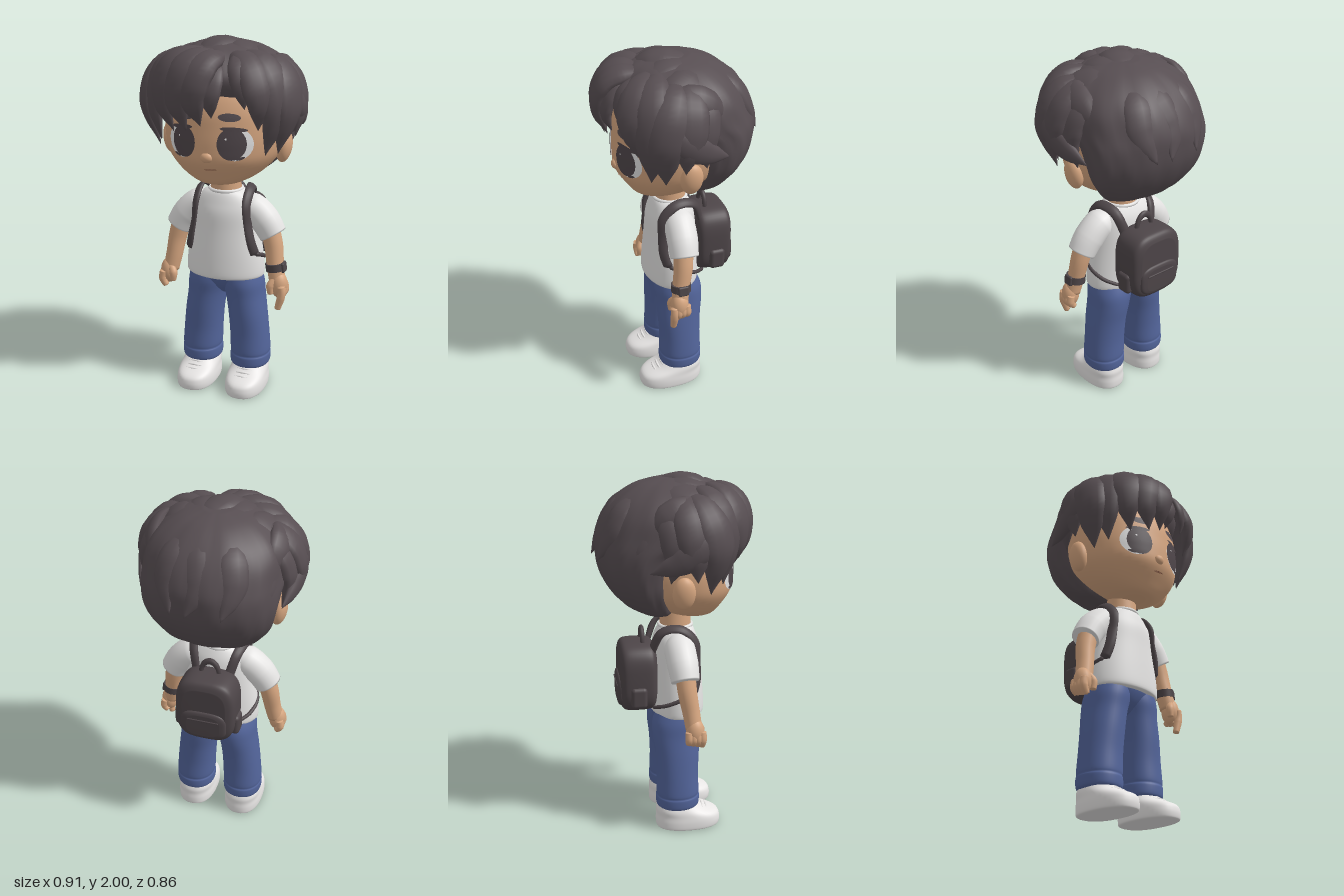
import * as THREE from 'three';
import { mergeVertices } from 'three/addons/utils/BufferGeometryUtils.js';
import { RoundedBoxGeometry } from 'three/addons/geometries/RoundedBoxGeometry.js';

const mat = (name, color, side = THREE.FrontSide) => {
  const m = new THREE.MeshStandardMaterial({ color, side });
  m.name = name;
  return m;
};
const M = {
  hair: mat('dark hair', 0x574e52),
  skin: mat('skin', 0xd6a680),
  shirt: mat('shirt white', 0xe4e3e2),
  jeans: mat('denim blue', 0x53659b),
  shoe: mat('shoe white', 0xe8e6e5),
  bag: mat('bag charcoal', 0x4d4548),
  eyeWhite: mat('eye white', 0xffffff, THREE.DoubleSide),
  iris: mat('iris brown', 0x50474b, THREE.DoubleSide),
  lip: mat('lip brown', 0x9a6a52, THREE.DoubleSide),
};

// Catmull-Rom value of a row table at t in 0..1
function rowAt(rows, t) {
  const f = t * (rows.length - 1), i = Math.min(Math.floor(f), rows.length - 2), u = f - i;
  const r = k => rows[Math.max(0, Math.min(rows.length - 1, k))];
  return rows[0].map((_, c) => {
    const a = r(i - 1)[c], b = r(i)[c], d = r(i + 1)[c], e = r(i + 2)[c];
    return b + 0.5 * u * (d - a + u * (2 * a - 5 * b + 4 * d - e + u * (3 * (b - d) + e - a)));
  });
}

// Closed body from horizontal rings [y, x, z, rx, rz], bottom to top
function loft(rows, { seg = 40, exp = 1, wave = () => 1 } = {}) {
  const n = (rows.length - 1) * 5, pos = [], idx = [];
  const pw = v => Math.sign(v) * Math.abs(v) ** exp;
  for (let i = 0; i <= n; i++) {
    const [y, x, z, rx, rz] = rowAt(rows, i / n);
    for (let j = 0; j < seg; j++) {
      const a = j / seg * Math.PI * 2, w = wave(a, y);
      pos.push(x + rx * w * pw(Math.cos(a)), y, z + rz * w * pw(Math.sin(a)));
    }
  }
  for (let i = 0; i < n; i++) for (let j = 0; j < seg; j++) {
    const a = i * seg + j, b = i * seg + (j + 1) % seg;
    idx.push(a, a + seg, b, b, a + seg, b + seg);
  }
  const lo = pos.length / 3, first = rows[0], last = rows[rows.length - 1];
  pos.push(first[1], first[0], first[2], last[1], last[0], last[2]);
  for (let j = 0; j < seg; j++) {
    const k = (j + 1) % seg;
    idx.push(lo, j, k, lo + 1, n * seg + k, n * seg + j);
  }
  const g = new THREE.BufferGeometry();
  g.setAttribute('position', new THREE.Float32BufferAttribute(pos, 3));
  g.setIndex(idx);
  g.computeVertexNormals();
  return g;
}

// Tapered tube along points; flat squashes it toward a centre
function sweep(points, radii, { flat = 1, center = [0, 1.6, 0], seg = 24, radial = 12 } = {}) {
  const curve = new THREE.CatmullRomCurve3(points.map(p => new THREE.Vector3(...p)));
  let g = new THREE.TubeGeometry(curve, seg, 1, radial);
  const p = g.attributes.position, v = new THREE.Vector3(), c = new THREE.Vector3(...center);
  for (let i = 0; i <= seg; i++) {
    const P = curve.getPointAt(i / seg), out = P.clone().sub(c).normalize();
    const f = i / seg * (radii.length - 1), k = Math.min(Math.floor(f), radii.length - 2);
    const r = i === 0 || i === seg ? 0 : THREE.MathUtils.lerp(radii[k], radii[k + 1], f - k);
    for (let j = 0; j <= radial; j++) {
      const q = i * (radial + 1) + j;
      v.fromBufferAttribute(p, q).sub(P);
      v.addScaledVector(out, (flat - 1) * v.dot(out)).multiplyScalar(r).add(P);
      p.setXYZ(q, v.x, v.y, v.z);
    }
  }
  g.deleteAttribute('uv');
  g.deleteAttribute('normal');
  g = mergeVertices(g);
  g.computeVertexNormals();
  return g;
}

// Head rings, also used to lay the face details on its surface
const HEAD = [[1.235, 0, 0.13, 0.06, 0.06], [1.25, 0, 0.11, 0.13, 0.12], [1.3, 0, 0.07, 0.22, 0.2],
  [1.38, 0, 0.035, 0.295, 0.285], [1.46, 0, 0.02, 0.325, 0.308], [1.55, 0, 0.01, 0.335, 0.315],
  [1.65, 0, 0, 0.33, 0.315], [1.75, 0, 0, 0.3, 0.275], [1.85, 0, 0, 0.2, 0.18], [1.9, 0, 0, 0.05, 0.05]];
function headZ(x, y) {
  let best = HEAD[0];
  for (let i = 0; i <= 400; i++) {
    const r = rowAt(HEAD, i / 400);
    if (Math.abs(r[0] - y) < Math.abs(best[0] - y)) best = r;
  }
  return best[2] + best[4] * Math.sqrt(Math.max(0, 1 - (x / best[3]) ** 2));
}
function decal(cx, cy, rx, ry, lift, tilt = 0) {
  const g = new THREE.RingGeometry(0, 1, 32, 6).scale(rx, ry, 1).rotateZ(tilt).translate(cx, cy, 0);
  const p = g.attributes.position;
  for (let i = 0; i < p.count; i++) p.setZ(i, headZ(p.getX(i), p.getY(i)) + lift);
  g.computeVertexNormals();
  return g;
}

export function createModel() {
  const root = new THREE.Group();
  root.name = 'boyWithBackpack';
  const add = (name, g, m, x = 0, y = 0, z = 0) => {
    const mesh = new THREE.Mesh(g, m);
    mesh.name = name;
    mesh.position.set(x, y, z);
    root.add(mesh);
    return mesh;
  };
  const ball = (rx, ry, rz) => new THREE.SphereGeometry(1, 24, 16).scale(rx, ry, rz);

  // Head and face
  add('head', loft(HEAD), M.skin);
  add('neck', new THREE.CylinderGeometry(0.08, 0.088, 0.2, 28), M.skin, 0, 1.24, 0.02);
  add('nose', ball(0.034, 0.028, 0.024), M.skin, 0, 1.412, 0.318);
  add('mouth', decal(0.015, 1.345, 0.035, 0.004, 0.003, 0.08), M.lip);
  for (const s of [-1, 1]) {
    add('ear', ball(0.042, 0.088, 0.06), M.skin, s * 0.325, 1.43, 0.012).rotation.z = -s * 0.15;
    add('eyeWhite', decal(s * 0.146, 1.486, 0.084, 0.086, 0.003), M.eyeWhite);
    add('iris', decal(s * 0.13, 1.488, 0.071, 0.084, 0.006), M.iris);
    add('eyeGlint', decal(s * 0.13 - 0.025, 1.516, 0.005, 0.005, 0.009), M.eyeWhite);
    add('upperLash', decal(s * 0.14, 1.564, 0.066, 0.012, 0.008, -s * 0.08), M.iris);
    add('lowerLash', decal(s * 0.172, 1.413, 0.022, 0.007, 0.008, s * 0.3), M.iris);
    add('eyebrow', decal(s * 0.117, 1.624, 0.055, 0.021, 0.005, -s * 0.05), M.hair);
  }

  // Hair volume
  add('hairCap', loft([[1.245, 0, -0.07, 0.1, 0.06], [1.275, 0, -0.095, 0.19, 0.1], [1.33, 0, -0.135, 0.255, 0.15],
    [1.42, 0, -0.165, 0.315, 0.19], [1.52, 0, -0.175, 0.345, 0.225], [1.62, 0, -0.15, 0.357, 0.265], [1.7, 0, -0.07, 0.365, 0.34],
    [1.8, 0, -0.02, 0.355, 0.345], [1.88, 0, -0.005, 0.3, 0.29], [1.945, 0, 0.01, 0.2, 0.205], [1.978, 0, 0.02, 0.08, 0.1]],
  { seg: 64, wave: (a, y) => 1 + 0.014 * Math.sin(9 * a + 7 * y) + 0.008 * Math.sin(17 * a - 15 * y) }), M.hair);

  // Hair locks: [radius, four points from crown to tip]
  const lock = (name, s, [r, ...pts]) => add(name,
    sweep(pts.map(([x, y, z]) => [x * s, y, z]), [0.3, 0.8, 1, 0.95, 0.6, 0].map(k => k * r), { flat: 0.5 }), M.hair);
  [
    [0.055, [0.04, 1.9, 0.26], [0.045, 1.82, 0.34], [0.04, 1.73, 0.37], [0.035, 1.62, 0.34]],
    [0.09, [0.05, 1.93, 0.18], [-0.02, 1.87, 0.34], [-0.05, 1.74, 0.387], [-0.02, 1.58, 0.35]],
    [0.1, [0.03, 1.93, 0.18], [-0.1, 1.87, 0.325], [-0.14, 1.72, 0.36], [-0.1, 1.55, 0.345]],
    [0.1, [0, 1.93, 0.15], [-0.2, 1.87, 0.27], [-0.24, 1.7, 0.31], [-0.19, 1.53, 0.29]],
    [0.1, [-0.05, 1.93, 0.1], [-0.27, 1.86, 0.19], [-0.32, 1.68, 0.23], [-0.29, 1.46, 0.22]],
    [0.065, [0.12, 1.92, 0.18], [0.17, 1.87, 0.29], [0.19, 1.79, 0.32], [0.2, 1.67, 0.31]],
    [0.09, [0.08, 1.93, 0.16], [0.21, 1.87, 0.26], [0.27, 1.74, 0.3], [0.26, 1.56, 0.27]],
    [0.1, [0.1, 1.93, 0.12], [0.28, 1.86, 0.2], [0.34, 1.68, 0.22], [0.28, 1.42, 0.21]],
  ].forEach(l => lock('fringeLock', 1, l));
  const sideLocks = [
    [0.1, [0.2, 1.91, 0.05], [0.34, 1.84, 0.12], [0.385, 1.68, 0.17], [0.33, 1.42, 0.15]],
    [0.1, [0.2, 1.91, 0], [0.355, 1.82, 0.04], [0.41, 1.66, 0.06], [0.4, 1.5, 0.07]],
    [0.09, [0.2, 1.9, -0.05], [0.335, 1.8, -0.04], [0.38, 1.65, -0.03], [0.35, 1.49, -0.06]],
    [0.075, [0.36, 1.8, 0.18], [0.41, 1.7, 0.1], [0.405, 1.61, -0.02], [0.375, 1.55, -0.17]],
    [0.07, [0.2, 1.87, -0.08], [0.28, 1.78, -0.16], [0.3, 1.65, -0.22], [0.26, 1.5, -0.31]],
    [0.08, [0.1, 1.9, -0.12], [0.15, 1.83, -0.27], [0.17, 1.71, -0.34], [0.13, 1.57, -0.415]],
    [0.1, [0.02, 1.88, -0.2], [0.07, 1.915, -0.06], [0.12, 1.925, 0.1], [0.17, 1.86, 0.25]],
    [0.1, [0.08, 1.9, -0.12], [0.19, 1.895, -0.03], [0.26, 1.865, 0.07], [0.33, 1.77, 0.2]],
    [0.075, [0.27, 1.88, 0.1], [0.32, 1.86, 0], [0.325, 1.81, -0.09], [0.31, 1.72, -0.17]],
  ];
  for (const s of [-1, 1]) sideLocks.forEach(l => lock('sideLock', s, l));
  lock('backLock', 1, [0.085, [0, 1.91, -0.12], [0.02, 1.84, -0.28], [0, 1.71, -0.37], [0.05, 1.57, -0.43]]);
  lock('crownLock', 1, [0.1, [0.06, 1.93, -0.1], [0.02, 1.95, 0.02], [-0.03, 1.945, 0.12], [-0.08, 1.88, 0.25]]);

  // Shirt and hips
  add('shirt', loft([[0.68, 0, 0.025, 0.212, 0.14], [0.697, 0, 0.025, 0.226, 0.153], [0.8, 0, 0.025, 0.22, 0.148],
    [0.95, 0, 0.02, 0.196, 0.14], [1.05, 0, 0.02, 0.184, 0.132], [1.11, 0, 0.018, 0.168, 0.118],
    [1.155, 0, 0.02, 0.13, 0.1], [1.178, 0, 0.02, 0.09, 0.085]]), M.shirt);
  add('collar', new THREE.TorusGeometry(0.09, 0.01, 8, 32).rotateX(Math.PI / 2), M.shirt, 0, 1.173, 0.02);
  add('hips', loft([[0.56, 0, 0.005, 0.02, 0.05], [0.585, 0, 0.005, 0.07, 0.08], [0.63, 0, 0.008, 0.16, 0.115],
    [0.68, 0, 0.012, 0.206, 0.135], [0.72, 0, 0.015, 0.206, 0.135]]), M.jeans);

  for (const s of [-1, 1]) {
    const at = pts => pts.map(([x, y, z]) => [s * x, y, z]);

    // Sleeves, arms and hands
    add('sleeve', sweep(at([[0.06, 1.1, 0.02], [0.165, 1.065, 0.02], [0.235, 1, 0.025], [0.282, 0.925, 0.03]]),
      [0.06, 0.085, 0.084, 0.076], { seg: 36, radial: 24 }), M.shirt);
    add('arm', sweep(at([[0.25, 1, 0.03], [0.285, 0.87, 0.04], [0.302, 0.76, 0.058], [0.322, 0.66, 0.072]]),
      [0.055, 0.053, 0.048, 0.045], { radial: 20 }), M.skin);
    add('palm', ball(0.048, 0.075, 0.05), M.skin, s * 0.33, 0.66, 0.075);
    for (let i = 0; i < 4; i++) {
      const z = 0.112 - i * 0.024, tip = i === 0 && s > 0 ? 0.525 : 0.575 + i * 0.006;
      add('finger', sweep(at([[0.35, 0.67, z], [0.355, 0.62, z], [0.332, tip, z]]), [0.021, 0.023, 0.017]), M.skin);
    }
    add('thumb', sweep(at([[0.315, 0.7, 0.09], [0.29, 0.66, 0.11], [0.292, 0.61, 0.112]]), [0.02, 0.023, 0.016]), M.skin);

    // Trouser legs with a turned-up cuff
    add('leg', loft([[0.13, s * 0.146, 0.01, 0.1, 0.108], [0.145, s * 0.147, 0.01, 0.113, 0.122],
      [0.19, s * 0.148, 0.01, 0.115, 0.124], [0.205, s * 0.148, 0.01, 0.111, 0.119], [0.23, s * 0.147, 0.01, 0.114, 0.121],
      [0.33, s * 0.141, 0.01, 0.112, 0.118], [0.45, s * 0.13, 0.01, 0.11, 0.124], [0.56, s * 0.114, 0.005, 0.111, 0.132],
      [0.64, s * 0.1, 0.01, 0.118, 0.134], [0.71, s * 0.085, 0.02, 0.115, 0.115]], { exp: 0.94 }), M.jeans);

    // Shoes
    add('shoe', loft([[0, s * 0.148, 0.07, 0.1, 0.172], [0.008, s * 0.148, 0.07, 0.112, 0.184], [0.045, s * 0.148, 0.07, 0.114, 0.186],
      [0.08, s * 0.148, 0.062, 0.11, 0.175], [0.115, s * 0.148, 0.022, 0.104, 0.135], [0.15, s * 0.148, 0.002, 0.09, 0.104]],
    { exp: 0.85 }), M.shoe);
    for (let i = 0; i < 3; i++) {
      const y = 0.13 - i * 0.013, z = 0.128 + i * 0.024;
      add('lace', sweep([[s * 0.148 - 0.045, y - 0.006, z - 0.006], [s * 0.148, y, z], [s * 0.148 + 0.045, y - 0.006, z - 0.006]],
        [0.007, 0.007]), M.shoe);
    }

    // Shoulder strap and thin lower strap
    const strap = { flat: 0.45, center: [0, 0.98, 0], seg: 48 };
    add('shoulderStrap', sweep(at([[0.09, 1.04, -0.13], [0.125, 1.165, -0.07], [0.143, 1.18, 0.03], [0.146, 1.11, 0.105],
      [0.157, 1, 0.112], [0.176, 0.9, 0.112], [0.195, 0.82, 0.09]]), [0.028, 0.028], strap), M.bag);
    add('lowerStrap', sweep(at([[0.192, 0.83, 0.09], [0.218, 0.8, 0.02], [0.2, 0.765, -0.06], [0.14, 0.735, -0.13]]),
      [0.014, 0.011, 0.01]), M.bag);
    add('sidePocket', new RoundedBoxGeometry(0.05, 0.12, 0.09, 4, 0.022), M.bag, s * 0.16, 0.805, -0.205);
  }

  // Backpack with a rounded outline, stacked from back to front
  const pad = (w, h, d) => loft([[-d, 0, 0, w * 0.72, h * 0.75], [-d * 0.85, 0, 0, w * 0.92, h * 0.93], [-d * 0.5, 0, 0, w, h],
    [d * 0.5, 0, 0, w, h], [d * 0.85, 0, 0, w * 0.92, h * 0.93], [d, 0, 0, w * 0.72, h * 0.75]], { seg: 56, exp: 0.6 }).rotateX(Math.PI / 2);
  add('backpack', pad(0.168, 0.195, 0.102), M.bag, 0, 0.895, -0.2);
  add('backPocket', pad(0.13, 0.088, 0.04), M.bag, 0, 0.82, -0.276);
  add('pocketSeam', new RoundedBoxGeometry(0.18, 0.01, 0.01, 2, 0.004), M.bag, 0, 0.855, -0.316);
  add('carryHandle', new THREE.TorusGeometry(0.05, 0.013, 10, 24, Math.PI).scale(1, 1.5, 1), M.bag, 0, 1.08, -0.17);

  // Watch on the left wrist
  add('watchBand', new THREE.CylinderGeometry(0.055, 0.055, 0.042, 28), M.bag, 0.302, 0.76, 0.058).rotation.z = 0.15;
  add('watchFace', new RoundedBoxGeometry(0.022, 0.056, 0.06, 3, 0.009), M.bag, 0.35, 0.763, 0.06).rotation.z = 0.15;
  return root;
}
